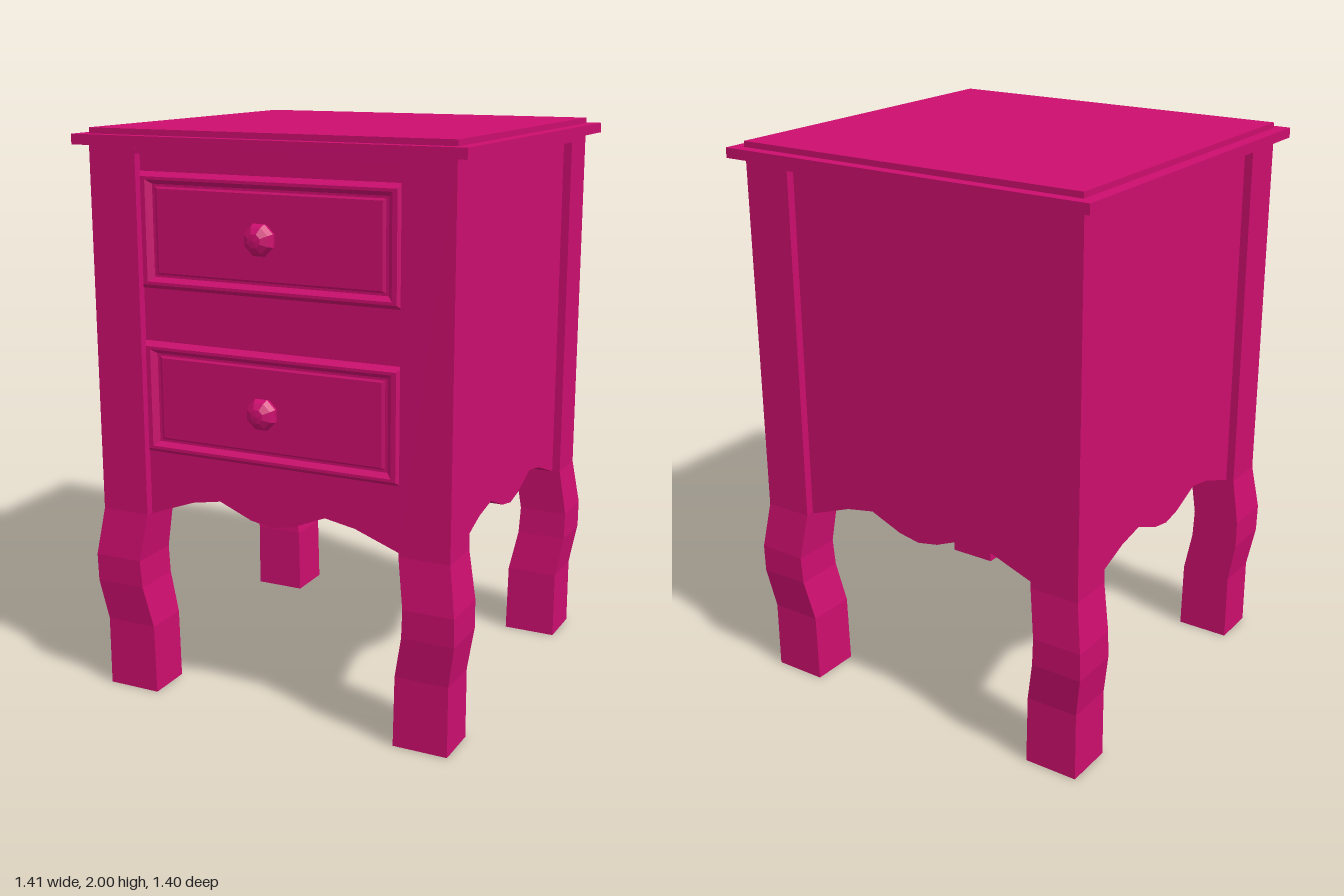
import * as THREE from 'three';

const material = new THREE.MeshStandardMaterial({ color: 0xcc0e6e, flatShading: true });
const ZC = -0.0135; // centre of the cabinet in depth

function add(parent, name, geometry, x = 0, y = 0, z = 0) {
  const mesh = new THREE.Mesh(geometry, material);
  mesh.name = name;
  mesh.position.set(x, y, z);
  parent.add(mesh);
  return mesh;
}

// Closed solid through four-cornered sections, counter-clockwise seen from the last one
function loft(rings) {
  const index = [];
  const last = (rings.length - 1) * 4;
  for (let i = 0; i < rings.length - 1; i++) {
    for (let j = 0; j < 4; j++) {
      const a = i * 4 + j, b = i * 4 + (j + 1) % 4;
      index.push(a, b, b + 4, a, b + 4, a + 4);
    }
  }
  index.push(0, 2, 1, 0, 3, 2, last, last + 1, last + 2, last, last + 2, last + 3);
  const g = new THREE.BufferGeometry();
  g.setAttribute('position', new THREE.Float32BufferAttribute(rings.flat(2), 3));
  g.setIndex(index);
  const flat = g.toNonIndexed();
  flat.computeVertexNormals();
  return flat;
}

// Leg: height, outer x, inner x, then outer and inner z for front and back
const legRows = [
  [0, 0.66, 0.465, 0.63, 0.465, -0.655, -0.475],
  [0.25, 0.66, 0.47, 0.63, 0.465, -0.655, -0.477],
  [0.4, 0.685, 0.5, 0.648, 0.465, -0.675, -0.495],
  [0.5, 0.685, 0.505, 0.652, 0.465, -0.677, -0.5],
  [0.67, 0.66, 0.48, 0.63, 0.465, -0.655, -0.49],
  [1.945, 0.66, 0.48, 0.63, 0.465, -0.655, -0.49],
];

function legGeometry(side, front) {
  return loft(legRows.map(([y, xo, xi, fo, fi, bo, bi]) => {
    const [x0, x1] = side > 0 ? [xi, xo] : [-xo, -xi];
    const [z0, z1] = front ? [fi, fo] : [bo, bi];
    return [[x0, y, z1], [x1, y, z1], [x1, y, z0], [x0, y, z0]];
  }));
}

// Panel with a scalloped lower edge, outer face at z = 0
function panelGeometry(depth) {
  const half = [[0, 0.685], [0.08, 0.7], [0.2, 0.75], [0.31, 0.73], [0.48, 0.667]];
  const edge = [...half.slice(1).reverse().map(([x, y]) => [-x, y]), ...half];
  const points = [...edge, [0.48, 1.92], [-0.48, 1.92]].map(([x, y]) => new THREE.Vector2(x, y));
  const g = new THREE.ExtrudeGeometry(new THREE.Shape(points), { depth, bevelEnabled: false });
  return g.translate(0, 0, -depth);
}

// Drawer front: nested rectangles stepping out to a moulding and back to a field
function drawerGeometry() {
  const steps = [
    [0.478, 0.195, 0.58], [0.478, 0.195, 0.606], [0.465, 0.18, 0.626], [0.448, 0.17, 0.626],
    [0.43, 0.155, 0.608], [0.42, 0.147, 0.608], [0.41, 0.14, 0.613],
  ];
  return loft(steps.map(([w, h, z]) => [[-w, -h, z], [w, -h, z], [w, h, z], [-w, h, z]]));
}

function knobGeometry() {
  const profile = [[0, 0], [0.03, 0], [0.03, 0.02], [0.05, 0.03], [0.056, 0.05],
    [0.046, 0.069], [0.024, 0.084], [0, 0.087]].map(([r, y]) => new THREE.Vector2(r, y));
  return new THREE.LatheGeometry(profile, 8).rotateX(Math.PI / 2).rotateZ(Math.PI / 8);
}

export function createModel() {
  const model = new THREE.Group();
  model.name = 'nightstand';

  // Table top with a thin raised field, and the rail under it
  const top = new THREE.Group();
  top.name = 'tableTop';
  model.add(top);
  add(top, 'topSlab', new THREE.BoxGeometry(1.41, 0.035, 1.365), 0, 1.9625, -0.0165);
  add(top, 'topField', new THREE.BoxGeometry(1.32, 0.02, 1.285), 0, 1.99, -0.0165);
  add(model, 'topRail', new THREE.BoxGeometry(1.318, 0.025, 1.283), 0, 1.9325, ZC);

  // Four curved legs
  for (const side of [1, -1]) {
    for (const front of [true, false]) {
      const name = (front ? 'front' : 'back') + (side > 0 ? 'Left' : 'Right') + 'Leg';
      add(model, name, legGeometry(side, front));
    }
  }

  // Scalloped panels between the legs
  const panels = [
    ['frontPanel', 0, 0, 0.6], ['leftPanel', Math.PI / 2, 0.63, ZC],
    ['backPanel', Math.PI, 0, -0.625], ['rightPanel', -Math.PI / 2, -0.63, ZC],
  ];
  for (const [name, turn, x, z] of panels) {
    add(model, name, panelGeometry(0.13), x, 0, z).rotation.y = turn;
  }
  add(model, 'floor', new THREE.BoxGeometry(1.05, 0.03, 1.0), 0, 0.785, ZC);

  // Two drawers with faceted knobs
  [['upperDrawer', 1.667], ['lowerDrawer', 1.095]].forEach(([name, y]) => {
    const drawer = new THREE.Group();
    drawer.name = name;
    drawer.position.y = y;
    model.add(drawer);
    add(drawer, 'drawerFront', drawerGeometry());
    add(drawer, 'knob', knobGeometry(), 0, 0, 0.61);
  });

  return model;
}
